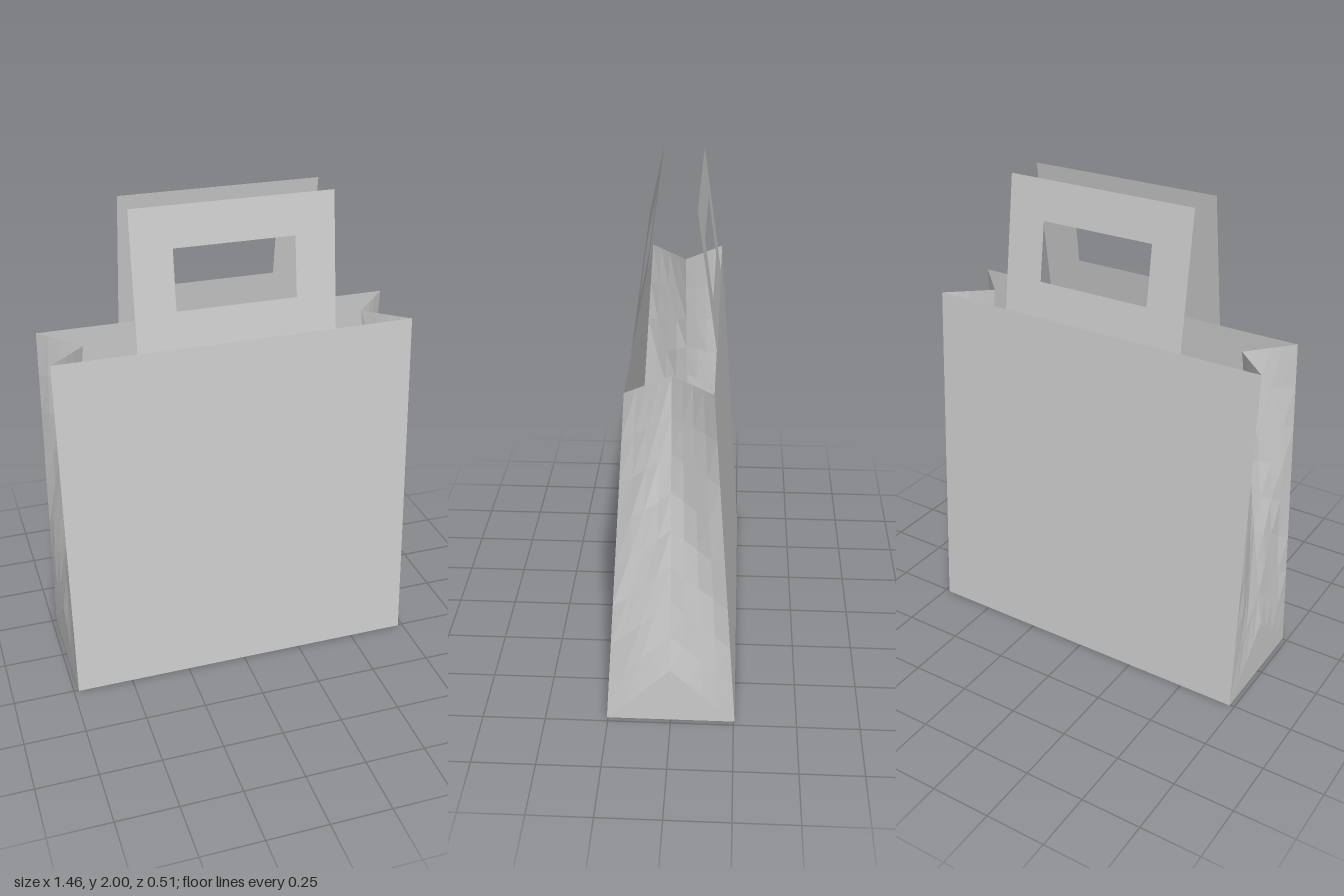
import * as THREE from 'three';

const TOP = 1.46, HALF_W = 0.73, BASE_Z = 0.255, TOP_Z = 0.155;
const material = new THREE.MeshStandardMaterial({ color: 0xcccccc, side: THREE.DoubleSide, flatShading: true });

// Depth of the front sheet at height y: leaning panel, then a steeper handle
const sheetZ = (y) => y <= TOP
  ? BASE_Z + (TOP_Z - BASE_Z) * (y / TOP)
  : TOP_Z - 0.075 * (y - TOP) / (2 - TOP);

const rect = (Kind, w, y0, y1) => new Kind([
  new THREE.Vector2(-w, y0), new THREE.Vector2(w, y0),
  new THREE.Vector2(w, y1), new THREE.Vector2(-w, y1),
]);

// Flat sheet laid on the leaning front
function sheet(name, shape, offset = 0) {
  const geo = new THREE.ShapeGeometry(shape);
  const p = geo.attributes.position;
  for (let i = 0; i < p.count; i++) p.setZ(i, sheetZ(p.getY(i)) + offset);
  geo.computeVertexNormals();
  const mesh = new THREE.Mesh(geo, material);
  mesh.name = name;
  return mesh;
}

// Side wall: flat triangle at the foot, folding inwards towards the top
function gusset() {
  const cols = 8, rows = 9;
  let geo = new THREE.PlaneGeometry(1, 1, cols, rows);
  const p = geo.attributes.position;
  for (let r = 0; r <= rows; r++) {
    for (let c = 0; c <= cols; c++) {
      const s = 1 - 2 * c / cols, inner = 1 - Math.abs(s);
      const t = Math.max(0, (rows - r - 1) / (rows - 1));
      const foot = 0.004 + 0.246 * inner;
      const rim = TOP - 0.008 * inner;
      const y = r === rows ? 0 : foot + (rim - foot) * t;
      // Shallow creases in the folded paper
      const crease = c % 2 ? 0.009 * Math.sin(Math.PI * t) * Math.cos(c * 1.7 + r * 1.3) : 0;
      const x = HALF_W - 0.155 * inner * t - crease;
      p.setXYZ(r * (cols + 1) + c, x, y, s * sheetZ(y));
    }
  }
  geo = geo.toNonIndexed();
  geo.computeVertexNormals();
  const mesh = new THREE.Mesh(geo, material);
  mesh.name = 'sideGusset';
  return mesh;
}

// One wide panel, its handle and one gusset
function halfBag(name) {
  const half = new THREE.Group();
  half.name = name;
  half.add(sheet('widePanel', rect(THREE.Shape, HALF_W, 0, TOP)));
  half.add(sheet('handlePatch', rect(THREE.Shape, 0.4, 0.73, TOP), 0.002));
  const handle = rect(THREE.Shape, 0.4, TOP, 2);
  handle.holes.push(rect(THREE.Path, 0.24, 1.605, 1.842));
  half.add(sheet('handle', handle, 0.002));
  half.add(gusset());
  return half;
}

export function createModel() {
  const bag = new THREE.Group();
  bag.name = 'paperBag';

  const front = halfBag('frontHalf');
  const back = halfBag('backHalf');
  back.rotation.y = Math.PI;
  bag.add(front, back);

  // Floor of the bag
  const floor = new THREE.Mesh(new THREE.PlaneGeometry(2 * HALF_W, 2 * BASE_Z), material);
  floor.name = 'bottom';
  floor.rotation.x = Math.PI / 2;
  bag.add(floor);

  return bag;
}
